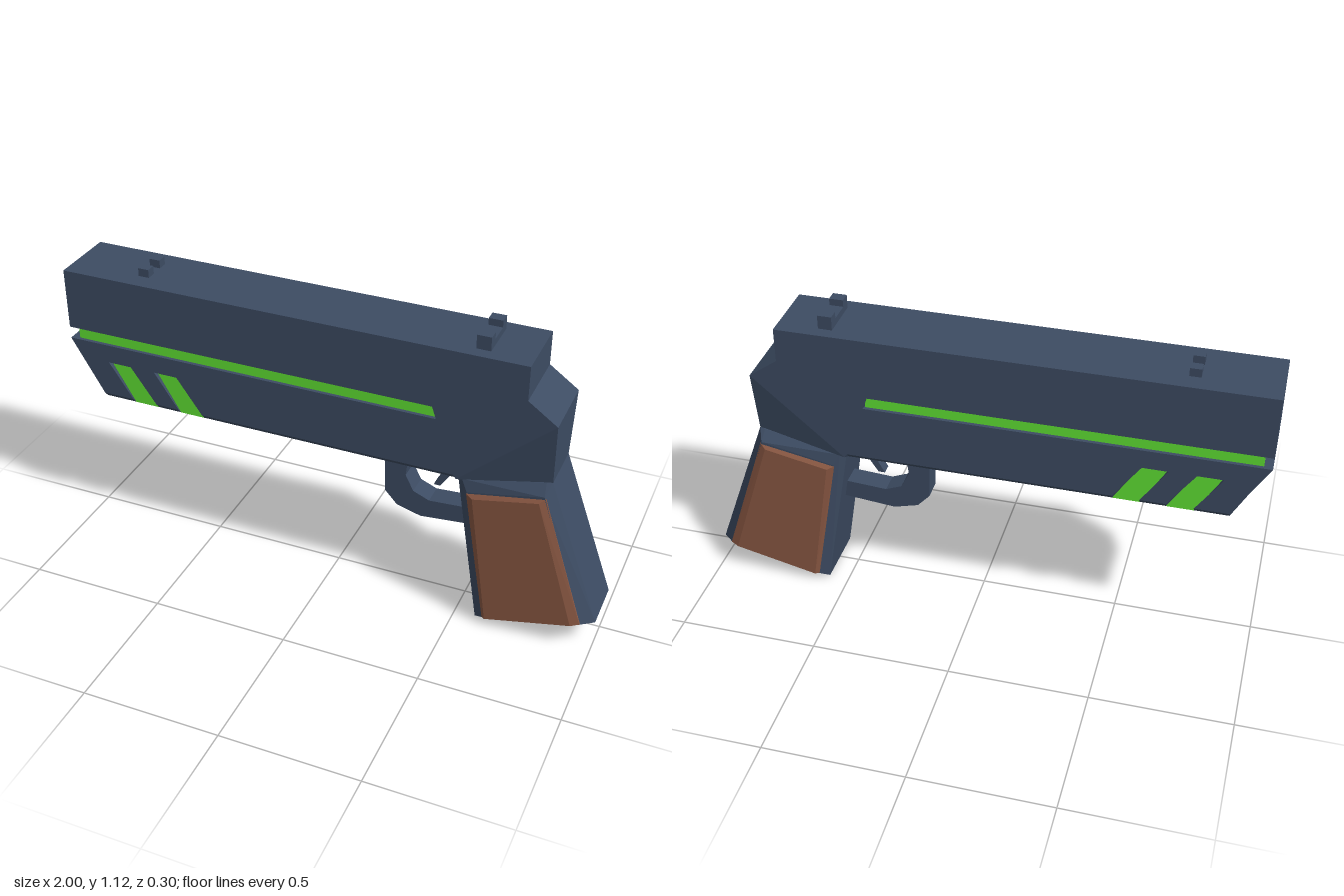
import * as THREE from 'three';
import { ConvexGeometry } from 'three/addons/geometries/ConvexGeometry.js';

const paint = (color) => new THREE.MeshStandardMaterial({ color, flatShading: true });
const HALF = 0.125;   // half width of the body
const CORE = 0.108;   // half width inside the recesses

export function createModel() {
  const model = new THREE.Group();
  const metal = paint(0x3d4c63), wood = paint(0x8a5843), glow = paint(0x62e635);

  const add = (name, geometry, material = metal) => {
    const mesh = new THREE.Mesh(geometry, material);
    mesh.name = name;
    model.add(mesh);
    return mesh;
  };
  // side profile extruded between two z values
  const slab = (points, z0, z1) => {
    const shape = new THREE.Shape(points.map(([x, y]) => new THREE.Vector2(x, y)));
    return new THREE.ExtrudeGeometry(shape, { depth: z1 - z0, bevelEnabled: false }).translate(0, 0, z0);
  };
  const block = (name, x0, x1, y0, y1, z0, z1, material) =>
    add(name, new THREE.BoxGeometry(x1 - x0, y1 - y0, z1 - z0)
      .translate((x0 + x1) / 2, (y0 + y1) / 2, (z0 + z1) / 2), material);
  // convex solid, each point optionally mirrored in z
  const hull = (points, mirror = true) => new ConvexGeometry(points.flatMap(([x, y, z]) =>
    mirror ? [new THREE.Vector3(x, y, z), new THREE.Vector3(x, y, -z)] : [new THREE.Vector3(x, y, z)]));

  // body core, slotted at the nose
  const rear = [[0.48, 0.58], [0.81, 0.87], [0.705, 0.945], [0.705, 1.07], [-0.85, 1.07]];
  add('bodyCore', slab([[-0.85, 0.845], [-0.85, 0.80], [-1, 0.80], [-0.88, 0.575], [0.47, 0.575],
    ...rear], -CORE, CORE));

  // side plates with the long slot and two slanted notches; lower edge chamfered
  const notch = (x) => [[x + 0.09, 0.575], [x, 0.73], [x + 0.09, 0.73], [x + 0.185, 0.575]];
  const plateOutline = [[-0.85, 0.845], [0.385, 0.845], [0.40, 0.80], [-1, 0.80], [-0.88, 0.575],
    ...notch(-0.85), ...notch(-0.665), [0.47, 0.575], ...rear];
  for (const side of [1, -1]) {
    const plate = slab(plateOutline, side > 0 ? CORE : -HALF, side > 0 ? HALF : -CORE);
    const p = plate.attributes.position;
    for (let i = 0; i < p.count; i++) {
      if (p.getY(i) < 0.578 && Math.abs(p.getZ(i)) > 0.12) p.setY(i, 0.595);
    }
    plate.computeVertexNormals();
    add('sidePlate', plate);

    // glowing slanted stripes in the notches
    for (const x of [-0.85, -0.665]) {
      const z = side * (CORE + 0.001);
      add('slantedStripe', slab(notch(x), Math.min(z, z - side * 0.01), Math.max(z, z - side * 0.01)), glow);
    }
  }
  block('glowStrip', -0.97, 0.395, 0.80, 0.845, -CORE - 0.004, CORE + 0.004, glow);

  // muzzle block with an octagonal bore
  const face = new THREE.Shape([[-HALF, 0.845], [HALF, 0.845], [HALF, 1.07], [-HALF, 1.07]]
    .map(([x, y]) => new THREE.Vector2(x, y)));
  const bore = [];
  for (let i = 0; i < 8; i++) {
    const a = -(i + 0.5) * Math.PI / 4;
    bore.push(new THREE.Vector2(0.062 * Math.cos(a), 0.957 + 0.062 * Math.sin(a)));
  }
  face.holes.push(new THREE.Path(bore));
  add('muzzle', new THREE.ExtrudeGeometry(face, { depth: 0.15, bevelEnabled: false })
    .rotateY(Math.PI / 2).translate(-1, 0, 0));

  // tapered tail joining the body to the grip
  add('tail', hull([[0.48, 0.58, HALF], [0.81, 0.87, HALF], [0.805, 0.635, 0.095]]));

  // sights
  for (const side of [1, -1]) {
    const pair = (a, b) => side > 0 ? [a, b] : [-b, -a];
    block('rearSightPost', 0.51, 0.56, 1.07, 1.12, ...pair(0.04, 0.08));
    block('frontSightPost', -0.735, -0.695, 1.07, 1.10, ...pair(0.022, 0.058));
  }
  block('rearSightBase', 0.51, 0.56, 1.07, 1.095, -0.04, 0.04);

  // grip frame: chamfered section flaring below the body
  add('grip', hull([
    [0.48, 0.58, 0.10], [0.50, 0.584, 0.12], [0.785, 0.633, 0.1], [0.805, 0.635, 0.095],
    [0.487, 0.535, 0.10], [0.522, 0.54, 0.13], [0.79, 0.595, 0.132], [0.819, 0.59, 0.095],
    [0.575, 0.005, 0.115], [0.61, 0.028, 0.14], [0.95, 0.107, 0.14], [1.0, 0.10, 0.095]]));

  // wooden grip panels with bevelled edges
  for (const side of [1, -1]) {
    add('gripPanel', hull([
      [0.52, 0.535, 0.12], [0.795, 0.59, 0.12], [0.955, 0.11, 0.12], [0.607, 0.03, 0.12],
      [0.52, 0.535, 0.13], [0.795, 0.59, 0.13], [0.955, 0.11, 0.14], [0.607, 0.03, 0.14],
      [0.545, 0.525, 0.142], [0.775, 0.572, 0.142], [0.925, 0.103, 0.152], [0.62, 0.033, 0.152]]
      .map(([x, y, z]) => [x, y, z * side]), false), wood);
  }

  // trigger guard and trigger
  add('triggerGuard', slab([[0.19, 0.58], [0.195, 0.40], [0.24, 0.35], [0.33, 0.325], [0.54, 0.345],
    [0.54, 0.412], [0.36, 0.40], [0.30, 0.425], [0.27, 0.485], [0.28, 0.58]], -0.04, 0.04));
  add('trigger', slab([[0.37, 0.58], [0.37, 0.555], [0.395, 0.51], [0.368, 0.46], [0.392, 0.46],
    [0.425, 0.51], [0.42, 0.58]], -0.02, 0.02));

  return model;
}
